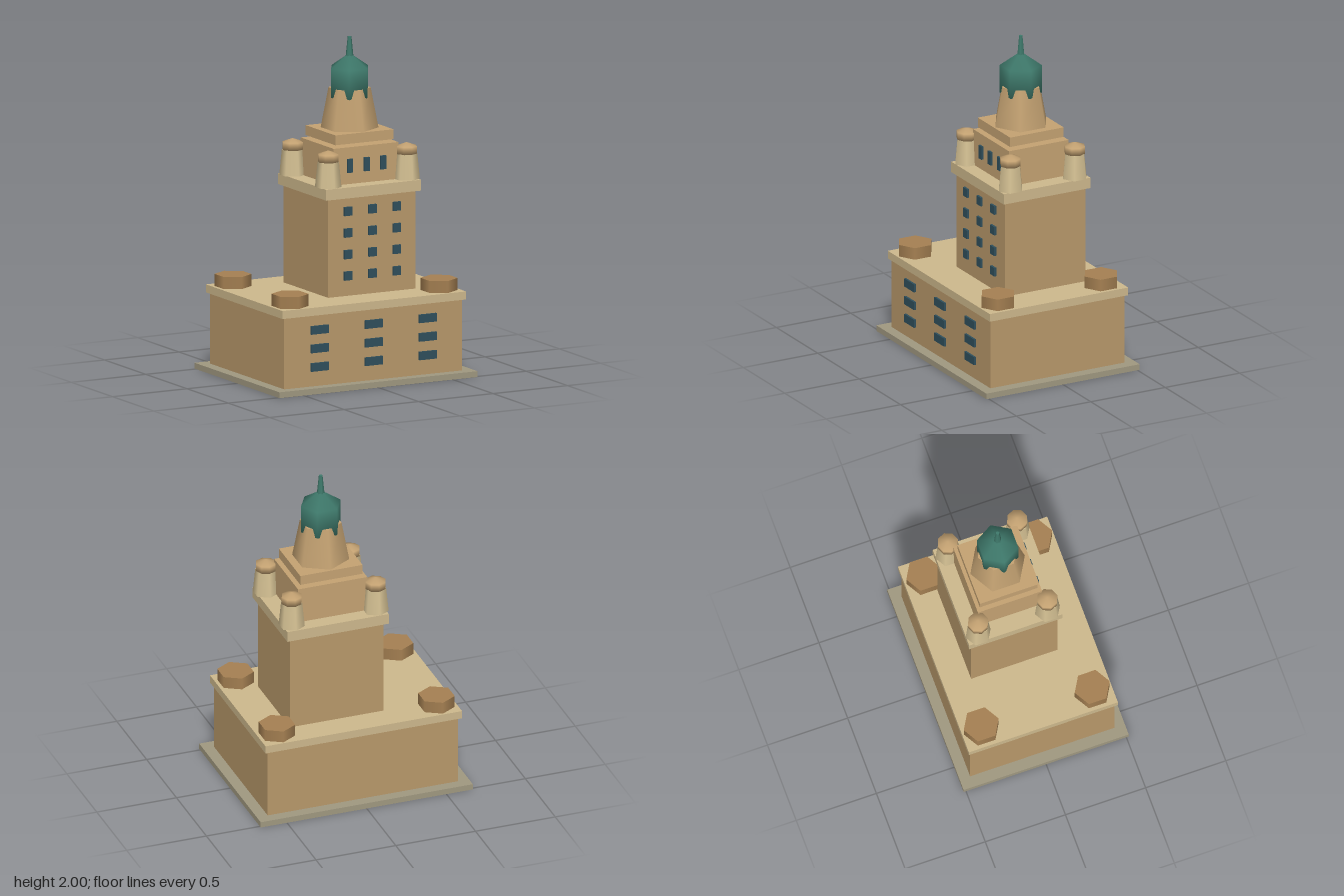
import * as THREE from 'three';

const material = (color) => new THREE.MeshStandardMaterial({ color });
const stone = material(0xb8986a);
const trim = material(0xcdb88c);
const upperStone = material(0xc4a272);
const drumStone = material(0xa58052);
const turretStone = material(0xd6c294);
const plinthStone = material(0xa09880);
const copper = material(0x3f7a6c);
const glass = material(0x2f4f5c);

// Tower axis, offset from the centre of the base
const TX = 0.106, TZ = -0.027;

export function createModel() {
  const model = new THREE.Group();
  model.name = 'towerBuilding';

  const add = (name, geometry, mat, x, y, z) => {
    const mesh = new THREE.Mesh(geometry, mat);
    mesh.name = name;
    mesh.position.set(x, y, z);
    model.add(mesh);
    return mesh;
  };
  // Box and six-sided column given by their bottom and top heights
  const block = (name, w, d, y0, y1, mat, x = 0, z = 0) =>
    add(name, new THREE.BoxGeometry(w, y1 - y0, d), mat, x, (y0 + y1) / 2, z);
  const hexColumn = (name, rTop, rBottom, y0, y1, mat, x, z) =>
    add(name, new THREE.CylinderGeometry(rTop, rBottom, y1 - y0, 6), mat, x, (y0 + y1) / 2, z);
  const windows = (name, xs, ys, w, h, z) => {
    for (const x of xs) for (const y of ys) add(name, new THREE.BoxGeometry(w, h, 0.03), glass, x, y, z - 0.015);
  };

  // Base
  block('plinth', 1.33, 1.03, 0, 0.035, plinthStone);
  block('base', 1.194, 0.9, 0.035, 0.46, stone);
  block('baseCornice', 1.232, 0.93, 0.46, 0.508, trim);
  windows('baseWindow', [-0.363, 0, 0.363], [0.15, 0.261, 0.372], 0.117, 0.05, 0.463);

  // Main shaft and upper stage
  block('shaft', 0.587, 0.54, 0.508, 1.095, stone, TX, TZ);
  block('shaftCornice', 0.636, 0.582, 1.095, 1.16, trim, TX, TZ);
  windows('shaftWindow', [TX - 0.164, TX, TX + 0.164], [0.629, 0.757, 0.886, 1.015], 0.051, 0.053, 0.257);
  block('upperStage', 0.434, 0.4, 1.16, 1.38, upperStone, TX, TZ);
  windows('upperWindow', [TX - 0.111, TX, TX + 0.111], [1.27], 0.035, 0.082, 0.186);
  block('upperSlab', 0.39, 0.36, 1.396, 1.455, upperStone, TX, TZ);

  // Corner drums on the base and capped turrets on the shaft
  for (const sx of [-1, 1]) {
    for (const sz of [-1, 1]) {
      hexColumn('cornerDrum', 0.109, 0.109, 0.508, 0.58, drumStone, sx * 0.5, sz * 0.346);
      const x = TX + sx * 0.263, z = TZ + sz * 0.216;
      hexColumn('turret', 0.063, 0.078, 1.16, 1.312, turretStone, x, z);
      add('turretCap', new THREE.SphereGeometry(0.072, 8, 3), upperStone, x, 1.334, z).scale.y = 0.62;
    }
  }

  // Lantern, copper dome and spire
  hexColumn('lantern', 0.124, 0.17, 1.455, 1.695, upperStone, TX, TZ);
  add('dome', new THREE.SphereGeometry(0.143, 6, 3), copper, TX, 1.729, TZ).scale.y = 1.2;
  hexColumn('spire', 0.011, 0.025, 1.86, 2, copper, TX, TZ);

  return model;
}
